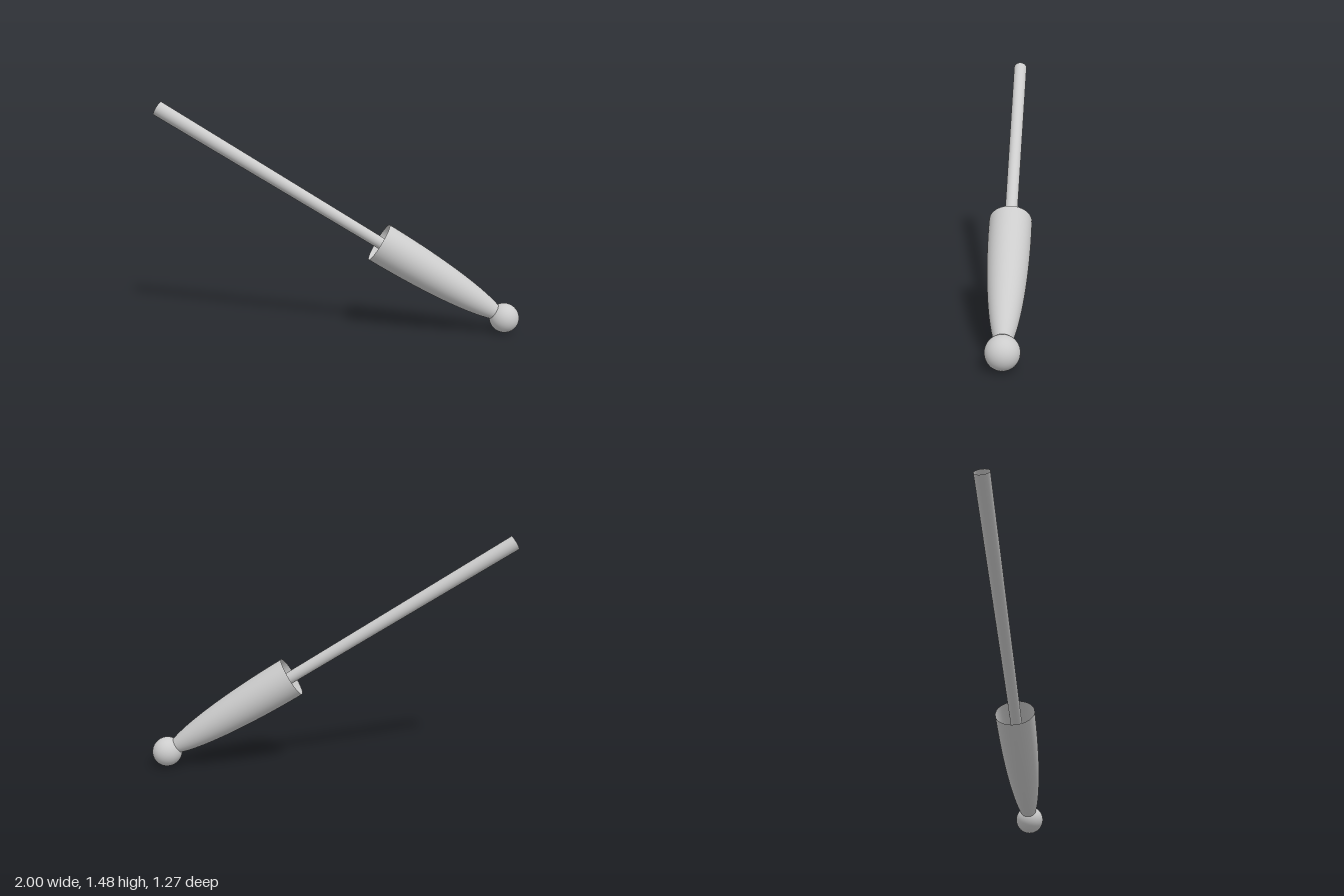
import * as THREE from 'three';

export function createModel() {
  const model = new THREE.Group();
  const grey = new THREE.MeshStandardMaterial({ color: 0xcccccc, side: THREE.DoubleSide });
  grey.name = 'light grey';

  // The whole object shares one slanted axis, from the ball to the open rod end.
  const ballCentre = new THREE.Vector3(0.905, 0.095, 0.54);
  const rodEnd = new THREE.Vector3(-0.967, 1.437, -0.592);
  const axis = rodEnd.clone().sub(ballCentre);
  const length = axis.length();

  const body = new THREE.Group();
  body.name = 'slantedBody';
  body.position.copy(ballCentre);
  body.quaternion.setFromUnitVectors(new THREE.Vector3(0, 1, 0), axis.normalize());
  model.add(body);

  const add = (name, geometry) => {
    const mesh = new THREE.Mesh(geometry, grey);
    mesh.name = name;
    body.add(mesh);
    return mesh;
  };

  // Ball at the tip
  add('tipBall', new THREE.SphereGeometry(0.095, 40, 28));

  // Hollow cup: half an ellipsoid, open towards the rod
  const cupLength = 0.952, cupRadius = 0.13, profile = [];
  for (let i = 0; i <= 24; i++) {
    const a = (i / 24) * Math.PI / 2;
    profile.push(new THREE.Vector2(cupRadius * Math.sin(a), cupLength * (1 - Math.cos(a))));
  }
  add('cup', new THREE.LatheGeometry(profile, 40));

  // Open rod, slightly thinner towards the cup
  const rodStart = 0.1;
  const rod = add('rod', new THREE.CylinderGeometry(0.047, 0.033, length - rodStart, 32, 1, true));
  rod.position.y = (length + rodStart) / 2;

  return model;
}
